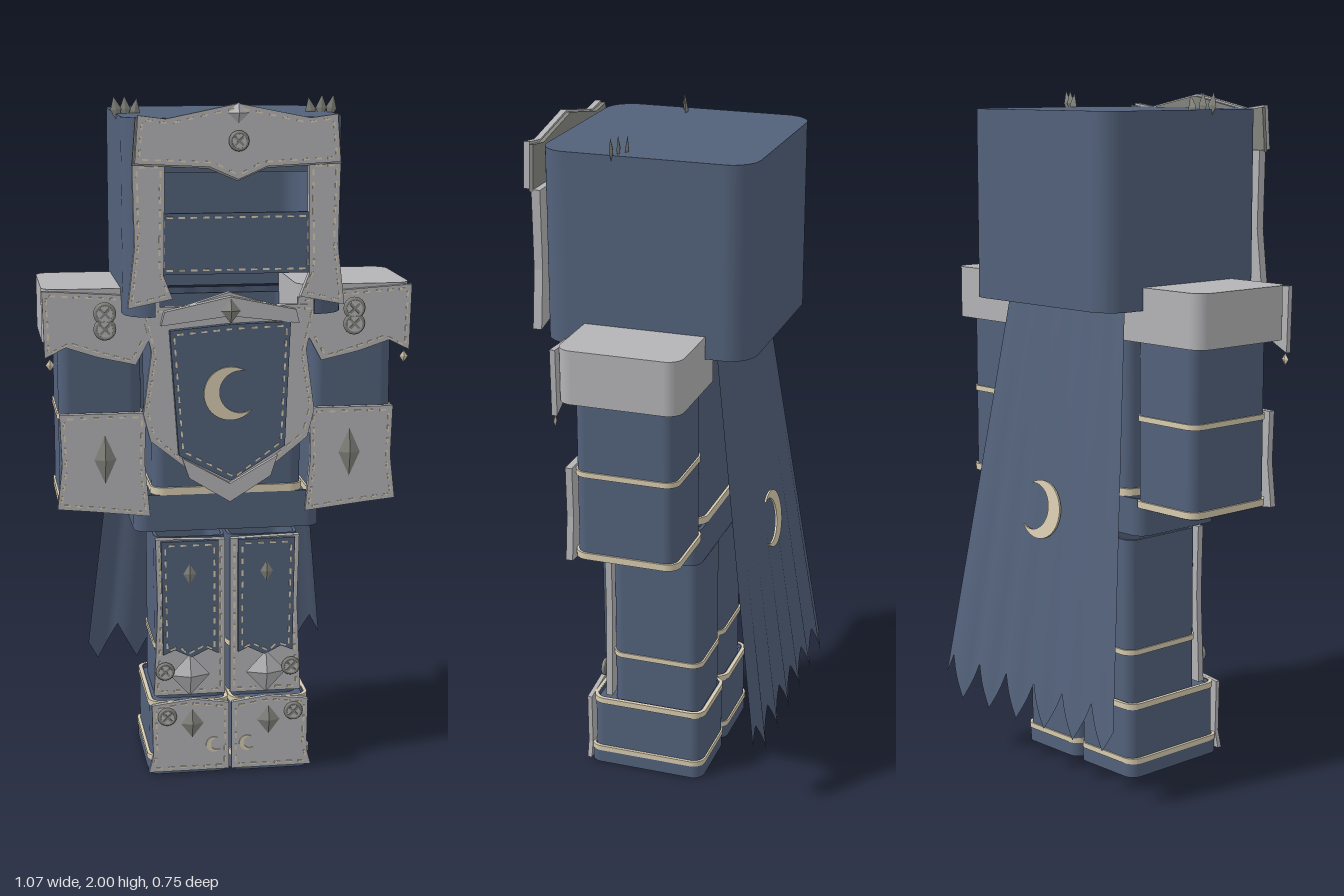
import * as THREE from 'three';

const mat = (name, color, side = THREE.FrontSide) => {
  const m = new THREE.MeshStandardMaterial({ color, side });
  m.name = name;
  return m;
};

export function createModel() {
  const root = new THREE.Group();
  root.name = 'knightArmor';
  const blue = mat('navyCloth', 0x52617a, THREE.DoubleSide);
  const silver = mat('silver', 0xb4b4b7);
  const cream = mat('cream', 0xd8ccb0);
  const steel = mat('darkSteel', 0x85857f);

  const add = (name, geo, m, x = 0, y = 0, z = 0, parent = root) => {
    const mesh = new THREE.Mesh(geo, m);
    mesh.name = name;
    mesh.position.set(x, y, z);
    parent.add(mesh);
    return mesh;
  };

  // Rounded rectangle in plan, drawn into a Shape or Path
  const roundRect = (p, w, d, r) => {
    const x = w / 2, y = d / 2;
    p.moveTo(-x + r, -y).lineTo(x - r, -y).absarc(x - r, -y + r, r, -Math.PI / 2, 0);
    p.lineTo(x, y - r).absarc(x - r, y - r, r, 0, Math.PI / 2);
    p.lineTo(-x + r, y).absarc(-x + r, y - r, r, Math.PI / 2, Math.PI);
    p.lineTo(-x, -y + r).absarc(-x + r, -y + r, r, Math.PI, Math.PI * 1.5);
    return p;
  };
  const upright = (shape, y0, y1) =>
    new THREE.ExtrudeGeometry(shape, { depth: y1 - y0, bevelEnabled: false, curveSegments: 8 })
      .rotateX(-Math.PI / 2).translate(0, y0, 0);
  // Open tube with rounded corners; box = [x0, x1, z0, z1]
  const shell = (name, m, [x0, x1, z0, z1], y0, y1, r = 0.035, t = 0.01) => {
    const s = roundRect(new THREE.Shape(), x1 - x0, z1 - z0, r);
    s.holes.push(roundRect(new THREE.Path(), x1 - x0 - 2 * t, z1 - z0 - 2 * t, r - t));
    return add(name, upright(s, y0, y1), m, (x0 + x1) / 2, 0, (z0 + z1) / 2);
  };
  const lid = (name, m, [x0, x1, z0, z1], y0, y1, r) =>
    add(name, upright(roundRect(new THREE.Shape(), x1 - x0, z1 - z0, r), y0, y1), m, (x0 + x1) / 2, 0, (z0 + z1) / 2);

  // Flat plate facing front; s mirrors it in x
  const plate = (name, m, pts, z, depth, s = 1) =>
    add(name, new THREE.ExtrudeGeometry(new THREE.Shape(pts.map(([x, y]) => new THREE.Vector2(x * s, y))),
      { depth, bevelEnabled: false }), m, 0, 0, z);
  // Dashed seam running just inside a plate's outline
  const stitches = (pts, z, s = 1) => {
    const cx = pts.reduce((a, p) => a + p[0], 0) / pts.length;
    const cy = pts.reduce((a, p) => a + p[1], 0) / pts.length;
    const q = pts.map(([x, y]) => [s * (x - Math.sign(x - cx) * 0.012), y - Math.sign(y - cy) * 0.012]);
    q.forEach(([ax, ay], i) => {
      const [bx, by] = q[(i + 1) % q.length];
      const len = Math.hypot(bx - ax, by - ay), n = Math.max(1, Math.round(len / 0.035));
      for (let k = 0; k < n; k++) {
        const f = (k + 0.5) / n;
        add('stitch', new THREE.BoxGeometry(0.018, 0.005, 0.004), cream, ax + (bx - ax) * f, ay + (by - ay) * f, z)
          .rotation.z = Math.atan2(by - ay, bx - ax);
      }
    });
  };
  const gem = (name, x, y, z, w, h, m = steel, d = 0.014) =>
    add(name, new THREE.OctahedronGeometry(1).scale(w, h, d), m, x, y, z);
  const stud = (x, y, z, r = 0.028) => {
    const g = new THREE.Group();
    g.name = 'stud';
    g.position.set(x, y, z);
    root.add(g);
    add('studRim', new THREE.TorusGeometry(r * 0.8, r * 0.22, 6, 16), steel, 0, 0, 0, g);
    add('studHead', new THREE.CylinderGeometry(r * 0.7, r * 0.8, 0.014, 16).rotateX(Math.PI / 2), silver, 0, 0, 0, g);
    for (const a of [0.785, -0.785])
      add('studSlot', new THREE.BoxGeometry(r * 1.2, r * 0.22, 0.004), steel, 0, 0, 0.008, g).rotation.z = a;
  };
  const moon = (name, k, x, y, z) => {
    const s = new THREE.Shape();
    s.absarc(0, 0, 0.078, 0.835, Math.PI * 2 - 0.835, false);
    s.absarc(0.03, 0, 0.062, -1.202, 1.202, false === true);
    const inner = new THREE.Shape();
    inner.absarc(0, 0, 0.078, 0.835, Math.PI * 2 - 0.835, false);
    inner.absarc(0.03, 0, 0.062, Math.PI * 2 - 1.202, 1.202, true);
    const mesh = add(name, new THREE.ExtrudeGeometry(inner, { depth: 0.006, bevelEnabled: false, curveSegments: 20 }), cream, x, y, z);
    mesh.scale.set(k, k, 1);
    mesh.rotation.z = 0.15;
    return mesh;
  };

  // Helmet: open-fronted wall, forehead and roof
  const X = 0.31, R = 0.08, T = 0.012, D = 0.307;
  const wall = new THREE.Shape();
  wall.moveTo(-0.225, -D).lineTo(-X + R, -D).absarc(-X + R, -D + R, R, -Math.PI / 2, -Math.PI, true);
  wall.lineTo(-X, D - R).absarc(-X + R, D - R, R, Math.PI, Math.PI / 2, true);
  wall.lineTo(X - R, D).absarc(X - R, D - R, R, Math.PI / 2, 0, true);
  wall.lineTo(X, -D + R).absarc(X - R, -D + R, R, 0, -Math.PI / 2, true).lineTo(0.225, -D);
  wall.lineTo(0.225, -D + T).lineTo(X - R, -D + T).absarc(X - R, -D + R, R - T, -Math.PI / 2, 0, false);
  wall.lineTo(X - T, D - R).absarc(X - R, D - R, R - T, 0, Math.PI / 2, false);
  wall.lineTo(-X + R, D - T).absarc(-X + R, D - R, R - T, Math.PI / 2, Math.PI, false);
  wall.lineTo(-X + T, -D + R).absarc(-X + R, -D + R, R - T, Math.PI, Math.PI * 1.5, false).lineTo(-0.225, -D + T);
  add('helmetWall', upright(wall, 1.4, 1.94), blue, 0, 0, -0.006);
  lid('helmetRoof', blue, [-X, X, -0.313, 0.301], 1.938, 1.95, R);
  add('forehead', new THREE.BoxGeometry(0.46, 0.14, T), blue, 0, 1.87, 0.294);

  // Visor, cheek plates and brow
  const visor = [[-0.215, 1.52], [0.215, 1.52], [0.215, 1.69], [-0.215, 1.69]];
  plate('visor', blue, visor, 0.3, 0.012);
  stitches(visor, 0.313);
  const cheek = [[0.2, 1.83], [0.29, 1.83], [0.285, 1.6], [0.305, 1.43], [0.18, 1.455], [0.205, 1.52]];
  const brow = [[-0.275, 1.96], [-0.2, 1.95], [0, 1.99], [0.2, 1.95], [0.275, 1.96], [0.285, 1.83],
    [0.08, 1.82], [0, 1.785], [-0.08, 1.82], [-0.285, 1.83]];
  plate('browBacking', steel, brow.map(([x, y]) => [x * 1.02, y - 0.006]), 0.322, 0.012);
  plate('brow', silver, brow, 0.334, 0.018);
  stitches(brow, 0.353);
  stud(0, 1.89, 0.36);
  gem('browGem', 0, 1.965, 0.352, 0.03, 0.028, silver);

  // Torso, skirt and belt
  shell('torso', blue, [-0.22, 0.22, -0.15, 0.15], 0.84, 1.4);
  shell('skirt', blue, [-0.275, 0.275, -0.157, 0.155], 0.74, 0.85, 0.04);
  shell('belt', cream, [-0.225, 0.225, -0.158, 0.158], 0.85, 0.872, 0.04);

  // Breastplate with shield
  const breast = [[-0.255, 1.41], [-0.13, 1.41], [0, 1.45], [0.13, 1.41], [0.255, 1.41], [0.225, 1.28], [0.25, 1.1],
    [0.23, 1.02], [0, 0.835], [-0.23, 1.02], [-0.25, 1.1], [-0.225, 1.28]];
  plate('breastplate', silver, breast, 0.165, 0.022);
  stitches(breast, 0.188);
  const shield = [[-0.175, 1.345], [0, 1.36], [0.175, 1.365], [0.16, 1.0], [0, 0.9], [-0.15, 0.98]];
  plate('shield', blue, shield, 0.187, 0.022);
  stitches(shield, 0.21);
  plate('breastTrim', silver, [[-0.2, 1.36], [-0.19, 1.4], [0, 1.44], [0.19, 1.4], [0.2, 1.36], [0, 1.385]], 0.187, 0.025);
  plate('breastPoint', silver, [[-0.14, 0.97], [0, 0.89], [0.14, 0.97], [0.12, 0.91], [0, 0.835], [-0.12, 0.91]], 0.187, 0.015);
  gem('collarGem', 0, 1.4, 0.215, 0.028, 0.036);
  moon('chestMoon', 1, 0, 1.16, 0.21);

  for (const s of [1, -1]) {
    const span = (a, b, z0, z1) => (s > 0 ? [a, b, z0, z1] : [-b, -a, z0, z1]);
    plate('cheekPlate', silver, cheek, 0.302, 0.026, s);
    stitches(cheek, 0.329, s);

    // Star points on the helmet roof
    [[0.31, 1.962, 0.083, 0.3], [0.283, 1.962, 0.072, 0.1], [0.255, 1.955, 0.058, -0.3]].forEach(([x, y, z, a]) => {
      const star = gem('helmetStar', s * x, y, z, 0.016, 0.038, steel, 0.005);
      star.rotation.z = -s * a * 0.6;
    });

    // Arm and shoulder
    shell('arm', blue, span(0.25, 0.49, -0.158, 0.138), 0.825, 1.4);
    shell('armBand', cream, span(0.245, 0.495, -0.163, 0.143), 1.08, 1.096, 0.04);
    shell('cuffBand', cream, span(0.244, 0.496, -0.165, 0.145), 0.828, 0.848, 0.04);
    shell('pauldron', silver, span(0.2, 0.535, -0.185, 0.17), 1.31, 1.455, 0.045);
    lid('pauldronTop', silver, span(0.2, 0.535, -0.185, 0.17), 1.453, 1.465, 0.045);
    const guard = [[0.2, 1.43], [0.27, 1.445], [0.535, 1.462], [0.53, 1.27], [0.47, 1.3], [0.38, 1.27],
      [0.27, 1.245], [0.235, 1.31], [0.195, 1.33]];
    plate('shoulderGuard', silver, guard, 0.168, 0.016, s);
    stitches(guard, 0.185, s);
    stud(s * 0.36, 1.4, 0.21, 0.032);
    stud(s * 0.36, 1.355, 0.21, 0.032);
    gem('shoulderCharm', s * 0.515, 1.25, 0.18, 0.013, 0.018, cream, 0.005);

    // Bracer
    const bracer = [[0.24, 1.1], [0.49, 1.1], [0.485, 0.95], [0.5, 0.82], [0.4, 0.81], [0.23, 0.79], [0.245, 0.95]];
    plate('bracer', silver, bracer, 0.145, 0.02, s);
    stitches(bracer, 0.166, s);
    gem('bracerGem', s * 0.36, 0.965, 0.167, 0.032, 0.072);

    // Leg
    shell('leg', blue, span(0.004, 0.215, -0.142, 0.135), 0.2, 0.715);
    shell('legBand', cream, span(0.002, 0.219, -0.147, 0.139), 0.367, 0.383, 0.038);
    const greave = [[0.008, 0.71], [0.215, 0.715], [0.21, 0.5], [0.222, 0.23], [0.008, 0.23]];
    plate('greave', silver, greave, 0.137, 0.02, s);
    stitches(greave, 0.158, s);
    const panel = [[0.03, 0.71], [0.2, 0.71], [0.195, 0.36], [0.16, 0.375], [0.11, 0.35], [0.06, 0.375], [0.03, 0.36]];
    plate('greavePanel', blue, panel, 0.157, 0.012, s);
    stitches(panel, 0.17, s);
    gem('panelGem', s * 0.115, 0.61, 0.168, 0.022, 0.036, steel, 0.008);
    gem('kneeGem', s * 0.115, 0.295, 0.165, 0.06, 0.065, silver, 0.025);
    stud(s * 0.19, 0.31, 0.17);

    // Boot
    shell('boot', blue, span(0.003, 0.237, -0.156, 0.195), 0.04, 0.225);
    shell('bootSole', blue, span(0.002, 0.243, -0.158, 0.205), 0, 0.045);
    shell('bootTopBand', cream, span(0.001, 0.241, -0.16, 0.199), 0.208, 0.226, 0.04);
    shell('soleBand', cream, span(0.001, 0.246, -0.161, 0.208), 0.042, 0.058, 0.04);
    lid('bootInstep', blue, span(0.005, 0.235, -0.154, 0.193), 0.205, 0.213, 0.03);
    const toe = [[0.004, 0.22], [0.11, 0.235], [0.235, 0.22], [0.232, 0.06], [0.245, 0.01], [0.004, 0.01]];
    plate('bootPlate', silver, toe, 0.2, 0.014, s);
    stitches(toe, 0.215, s);
    gem('bootGem', s * 0.115, 0.16, 0.215, 0.034, 0.045);
    stud(s * 0.19, 0.185, 0.218);
    moon('bootMoon', 0.3, s * 0.05, 0.09, 0.212);
  }

  // Cape: fluted, flaring sheet with a jagged hem
  const cape = new THREE.PlaneGeometry(2, 1, 96, 12);
  const p = cape.attributes.position;
  for (let i = 0; i < p.count; i++) {
    const u = p.getX(i), v = 0.5 - p.getY(i);
    const f = ((u + 1) * 3 + 0.25) % 1;
    const hem = 0.17 + 0.24 * Math.abs(f - 0.5);
    const y = 1.41 - (1.41 - hem) * v;
    p.setXYZ(i, u * (0.25 + 0.13 * v), y, -0.2 - (1.41 - y) * 0.142 + 0.006 * Math.cos(u * Math.PI * 6) * (0.3 + 0.7 * v));
  }
  cape.computeVertexNormals();
  add('cape', cape, blue);
  moon('capeMoon', 1.1, 0, 0.8, -0.303).rotation.x = 0.141;

  return root;
}
